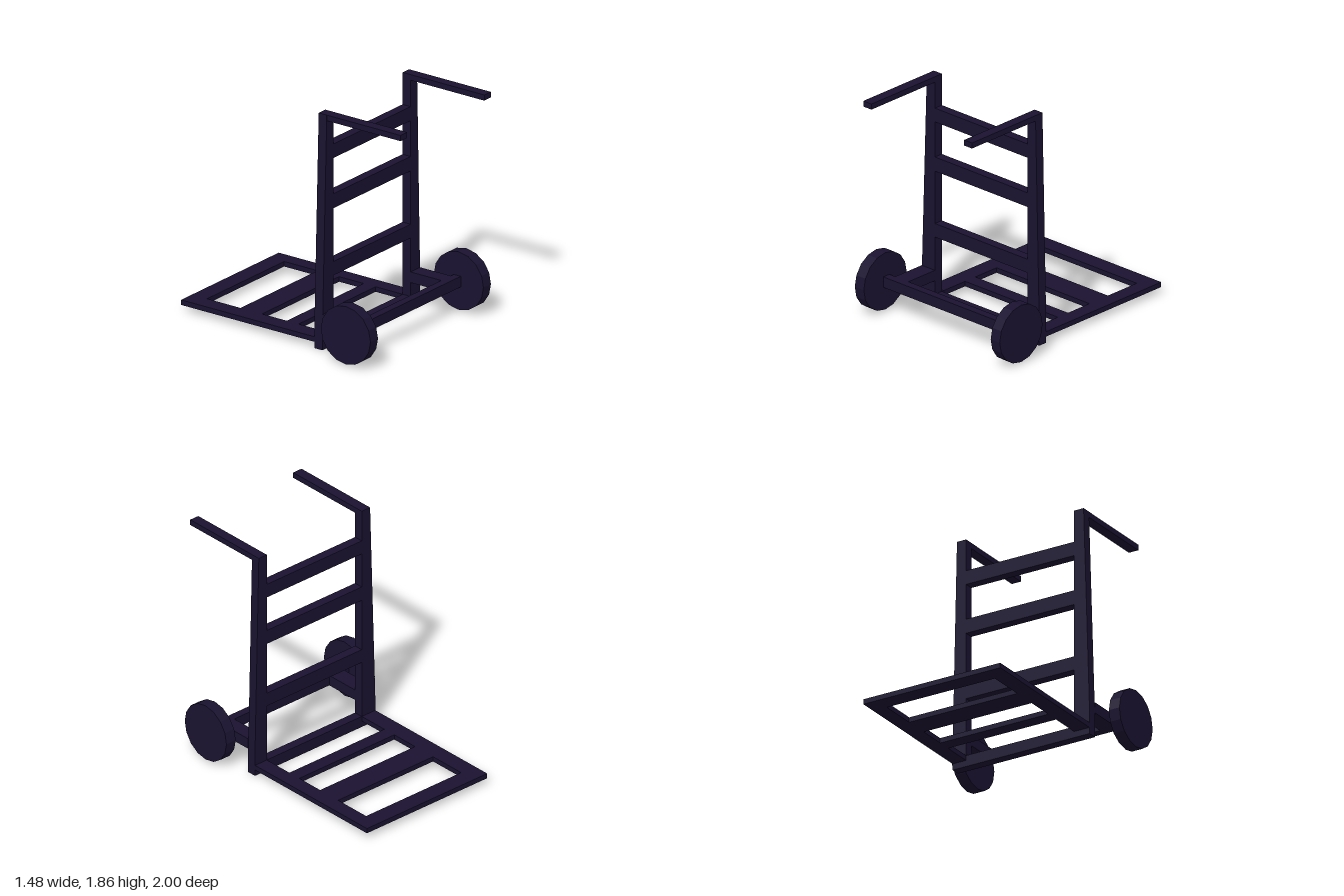
import * as THREE from 'three';

export function createModel() {
  const group = new THREE.Group();
  const material = new THREE.MeshStandardMaterial({ color: 0x1a1230, flatShading: true });

  const add = (name, geometry) => {
    const mesh = new THREE.Mesh(geometry, material);
    mesh.name = name;
    group.add(mesh);
    return mesh;
  };
  // Box given by its extents along each axis
  const bar = (name, [x0, x1], [y0, y1], [z0, z1]) =>
    add(name, new THREE.BoxGeometry(x1 - x0, y1 - y0, z1 - z0))
      .position.set((x0 + x1) / 2, (y0 + y1) / 2, (z0 + z1) / 2);

  const inner = [-0.455, 0.492];
  const frameZ = [0.24, 0.315];
  const sides = [
    { label: 'right', inner: -0.455, foot: -0.59, top: -0.538, wheel: -0.696 },
    { label: 'left', inner: 0.492, foot: 0.61, top: 0.572, wheel: 0.692 },
  ];

  for (const s of sides) {
    const wide = [Math.min(s.inner, s.foot), Math.max(s.inner, s.foot)];
    const narrow = [Math.min(s.inner, s.top), Math.max(s.inner, s.top)];

    // Upright tapering on its outer edge
    const outline = new THREE.Shape([
      new THREE.Vector2(s.inner, 0),
      new THREE.Vector2(s.foot, 0),
      new THREE.Vector2(s.foot, 0.2),
      new THREE.Vector2(s.top, 1.857),
      new THREE.Vector2(s.inner, 1.857),
    ]);
    add(s.label + 'Upright', new THREE.ExtrudeGeometry(outline, {
      depth: frameZ[1] - frameZ[0], bevelEnabled: false,
    })).position.z = frameZ[0];

    bar(s.label + 'Handle', narrow, [1.812, 1.857], [frameZ[1], 1]);
    bar(s.label + 'AxleBracket', wide, [0.2, 0.285], [frameZ[1], 0.6]);
    bar(s.label + 'PlatformRail', wide, [0.05, 0.09], [-1, frameZ[0]]);

    // Faceted wheel
    const wheel = add(s.label + 'Wheel', new THREE.CylinderGeometry(0.231, 0.231, 0.092, 16));
    wheel.rotation.z = Math.PI / 2;
    wheel.position.set(s.wheel, 0.245, 0.645);
  }

  // Back frame rungs
  for (const y of [[0, 0.09], [0.555, 0.665], [1.09, 1.205], [1.49, 1.602]])
    bar('frameRung', inner, y, frameZ);

  // Platform slats
  for (const z of [[-1, -0.86], [-0.55, -0.35], [-0.12, -0.01]])
    bar('platformSlat', inner, [0.05, 0.09], z);

  bar('axle', [-0.65, 0.646], [0.2, 0.285], [0.6, 0.665]);

  return group;
}
